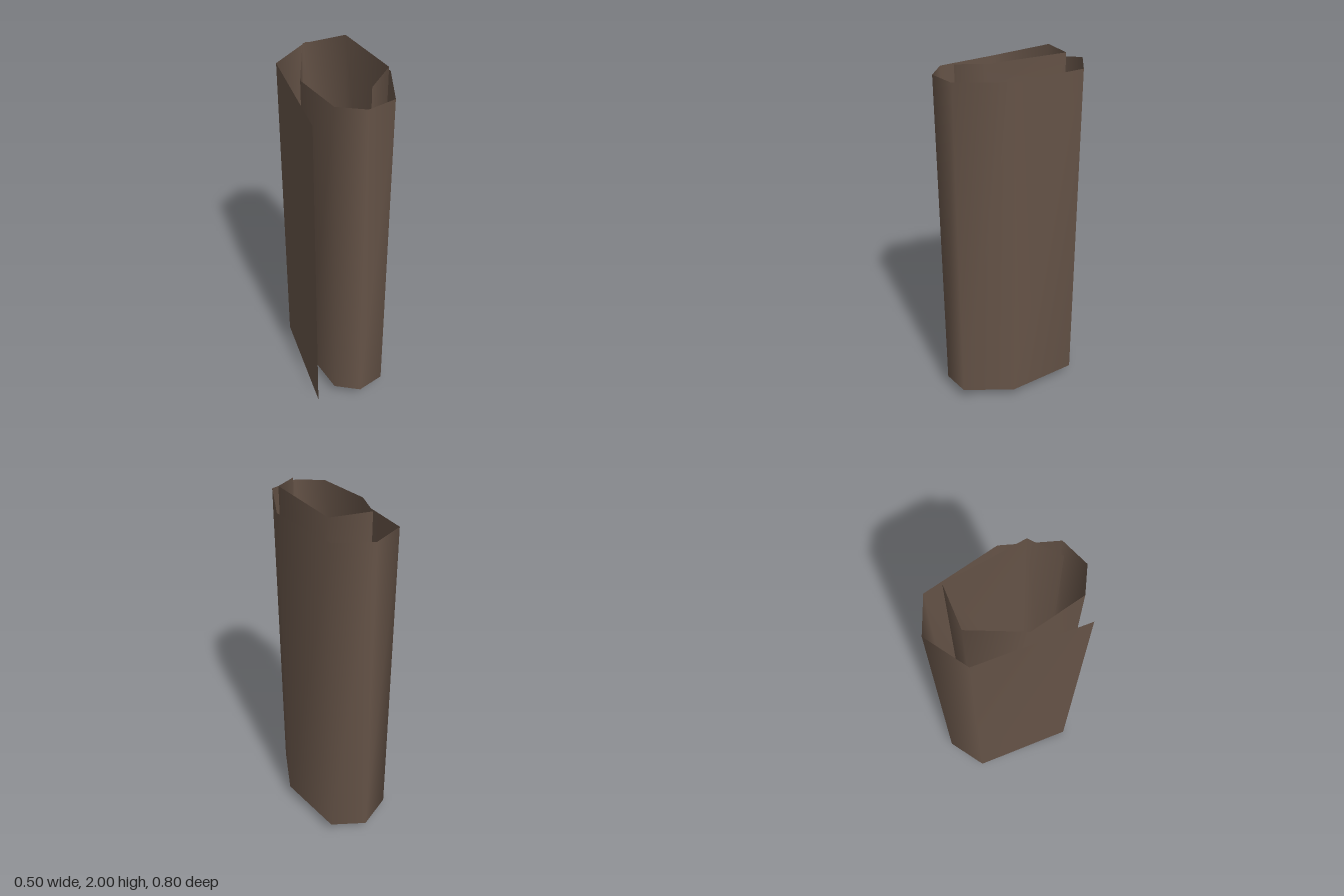
import * as THREE from 'three';

// Cross-section of the rolled sheet, from the loose outer flap to the inner end:
// x, z and how far that line of the sheet is slid up or down.
const SPIRAL = [
  [-0.25, 0.31, -0.075], [-0.2, -0.28, -0.03], [0.01, -0.4, 0], [0.19, -0.306, 0],
  [0.25, 0.09, 0], [0.135, 0.36, 0], [-0.02, 0.4, 0], [-0.147, 0.315, 0],
  [-0.19, 0.02, 0.005], [-0.07, -0.245, 0.065], [0.155, -0.224, 0.08],
  [0.18, 0.2, 0.08], [0.04, 0.31, 0.055],
];
const BOTTOM = 0.078;
const HEIGHT = 1.842;

// Sweep the spiral straight up into one open, smooth-shaded sheet
function sheetGeometry(path, bottom, height) {
  const positions = [];
  const indices = [];
  path.forEach(([x, z, slide], i) => {
    positions.push(x, bottom + slide, z, x, bottom + slide + height, z);
    if (i < path.length - 1) {
      const a = i * 2;
      indices.push(a, a + 1, a + 2, a + 1, a + 3, a + 2);
    }
  });
  const geometry = new THREE.BufferGeometry();
  geometry.setAttribute('position', new THREE.Float32BufferAttribute(positions, 3));
  geometry.setIndex(indices);
  geometry.computeVertexNormals();
  return geometry;
}

export function createModel() {
  const model = new THREE.Group();
  model.name = 'rolledScroll';

  const brown = new THREE.MeshStandardMaterial({ color: 0x655347, side: THREE.DoubleSide });
  brown.name = 'dark brown';

  const sheet = new THREE.Mesh(sheetGeometry(SPIRAL, BOTTOM, HEIGHT), brown);
  sheet.name = 'rolledSheet';
  model.add(sheet);
  return model;
}
